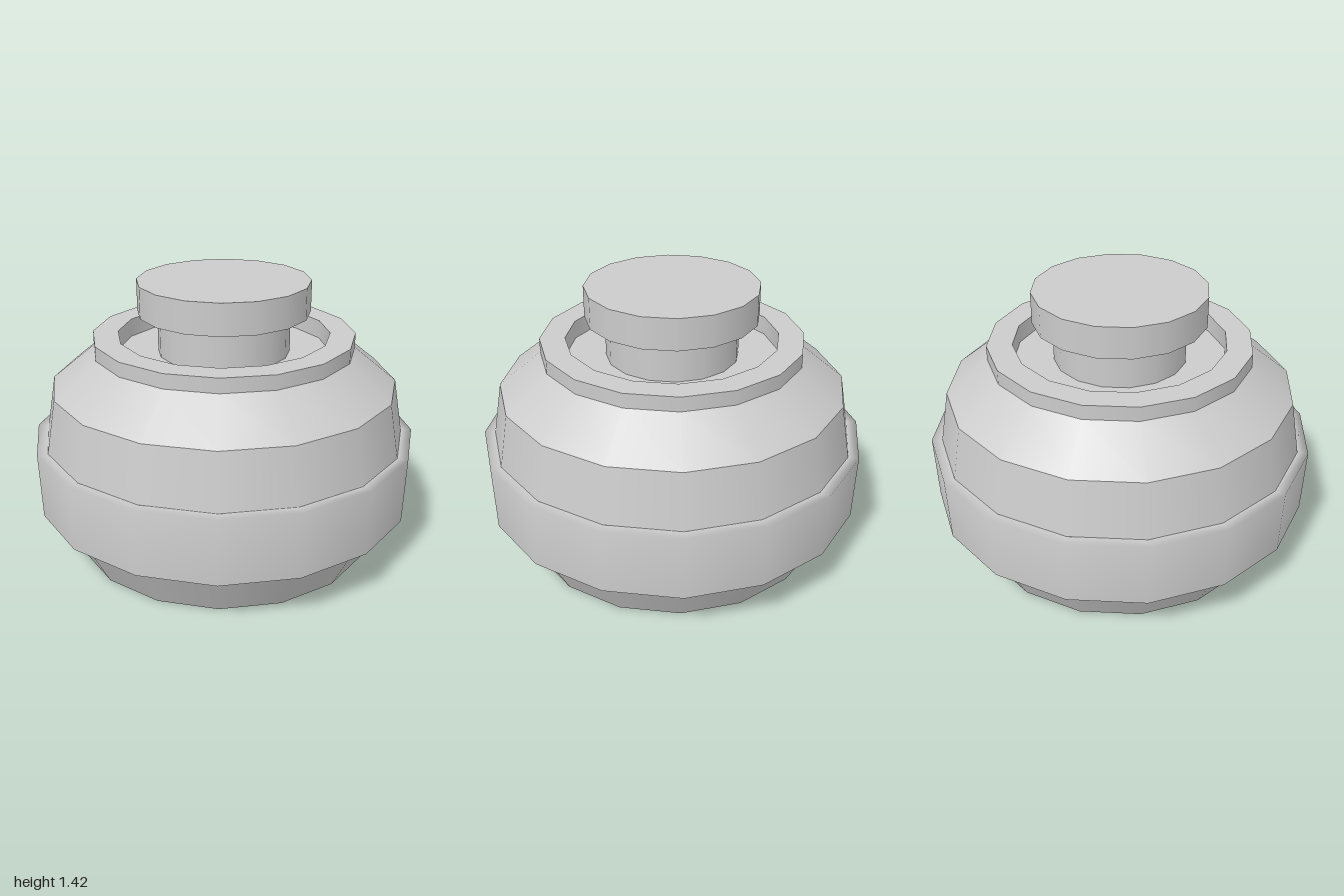
import * as THREE from 'three';
import { mergeGeometries } from 'three/addons/utils/BufferGeometryUtils.js';

const SIDES = 16;
const material = new THREE.MeshStandardMaterial({ color: 0xcccccc });

// Each strip is smooth within itself; neighbouring strips meet in a crisp edge.
function turned(name, strips) {
  const parts = strips.map((strip) =>
    new THREE.LatheGeometry(strip.map(([r, y]) => new THREE.Vector2(r, y)), SIDES));
  const mesh = new THREE.Mesh(mergeGeometries(parts), material);
  mesh.name = name;
  return mesh;
}

// Splits a profile so that every edge is crisp.
const crisp = (points) => points.slice(1).map((p, i) => [points[i], p]);

export function createModel() {
  const group = new THREE.Group();
  group.name = 'lidded pot';

  // Base: closed underside and flared lower wall
  group.add(turned('base', crisp([[0, 0], [0.79, 0], [0.93, 0.265]])));

  // Belt: wide band with ledges, softly shaded
  group.add(turned('belt', [
    [[0.93, 0.265], [0.99, 0.265]],
    [[0.99, 0.265], [1.0, 0.61], [0.945, 0.61]],
  ]));

  // Shoulder: upper wall and sloped top
  group.add(turned('shoulder', crisp([[0.945, 0.61], [0.895, 0.89], [0.675, 1.07]])));

  // Rim: raised ring around a sunken floor
  group.add(turned('rim', crisp([
    [0.675, 1.07], [0.675, 1.145], [0.545, 1.145], [0.545, 1.05], [0, 1.05],
  ])));

  // Stopper: narrow neck and wide cap
  group.add(turned('neck', crisp([[0.34, 1.05], [0.34, 1.26]])));
  group.add(turned('cap', crisp([[0, 1.26], [0.442, 1.26], [0.442, 1.422], [0, 1.422]])));

  return group;
}
